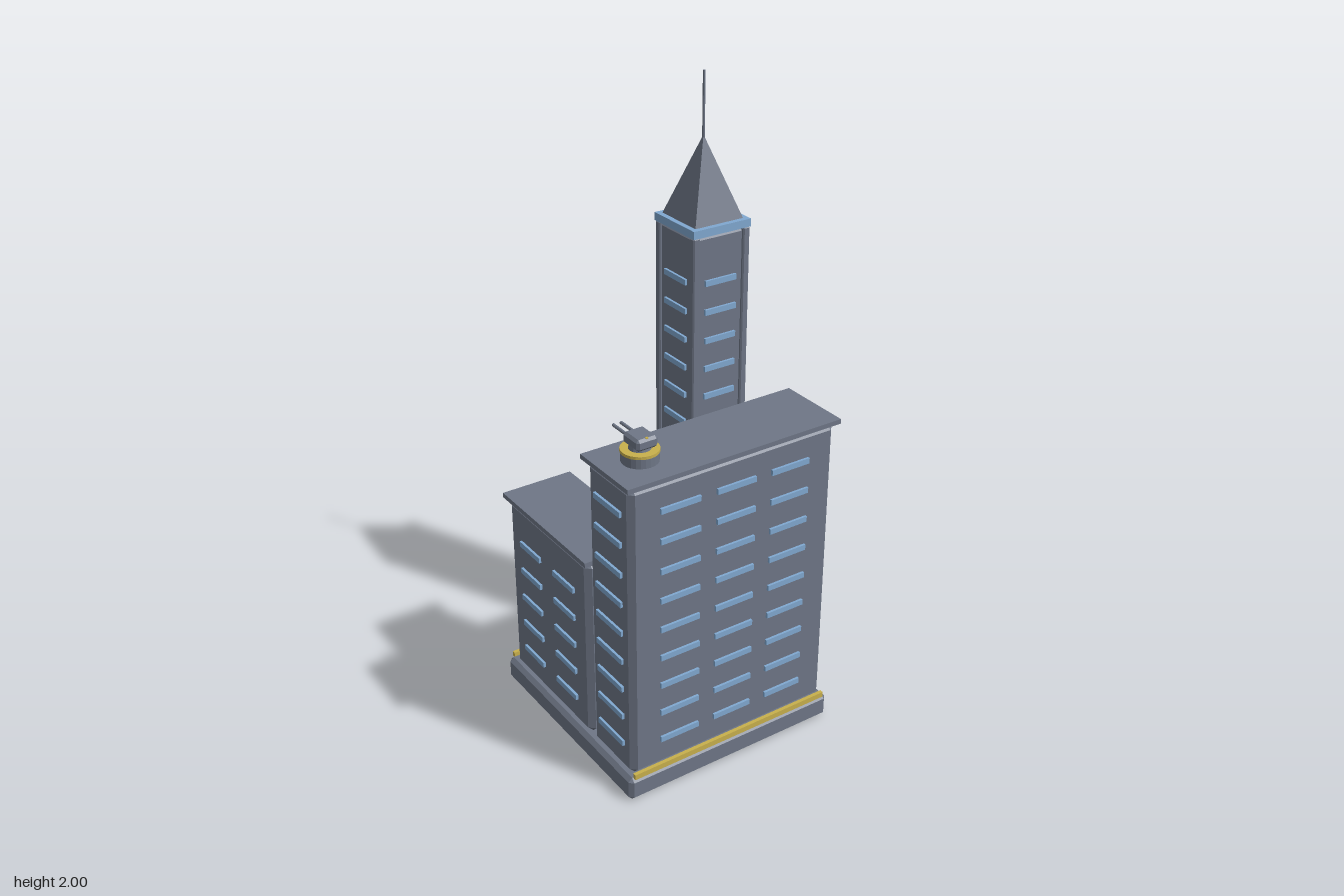
import * as THREE from 'three';
import { ConvexGeometry } from 'three/addons/geometries/ConvexGeometry.js';

const material = (name, color) => new THREE.MeshStandardMaterial({ name, color, flatShading: true });

export function createModel() {
  const concrete = material('concrete', 0x6e7686);
  const glass = material('windowBlue', 0x80a8d0);
  const yellow = material('hazardYellow', 0xc8b04c);
  const model = new THREE.Group();
  model.name = 'cityBlock';

  const group = (name) => {
    const g = new THREE.Group();
    g.name = name;
    model.add(g);
    return g;
  };
  const add = (parent, name, geometry, mat, x, y, z) => {
    const mesh = new THREE.Mesh(geometry, mat);
    mesh.name = name;
    mesh.position.set(x, y, z);
    parent.add(mesh);
    return mesh;
  };
  const box = (parent, name, mat, w, h, d, x, y, z) =>
    add(parent, name, new THREE.BoxGeometry(w, h, d), mat, x, y, z);

  // Box with every edge and corner cut by c
  const chamferBox = (w, h, d, c) => {
    const points = [];
    for (const sx of [-1, 1]) for (const sy of [-1, 1]) for (const sz of [-1, 1]) {
      const [x, y, z] = [sx * w / 2, sy * h / 2, sz * d / 2];
      points.push(
        new THREE.Vector3(x, y - sy * c, z - sz * c),
        new THREE.Vector3(x - sx * c, y, z - sz * c),
        new THREE.Vector3(x - sx * c, y - sy * c, z));
    }
    return new ConvexGeometry(points);
  };

  // Rows of raised window strips on all four sides of a w by d building
  const windows = (parent, cx, cz, w, d, rows, y0, step, colsX, colsZ, length) => {
    const alongX = new THREE.BoxGeometry(length, 0.018, 0.016);
    const alongZ = new THREE.BoxGeometry(0.016, 0.018, length);
    for (let i = 0; i < rows; i++) {
      const y = y0 + i * step;
      for (const s of [-1, 1]) {
        for (const o of colsX) add(parent, 'window', alongX, glass, cx + o, y, cz + s * d / 2);
        for (const o of colsZ) add(parent, 'window', alongZ, glass, cx + s * w / 2, y, cz + o);
      }
    }
  };

  // Base slab with yellow edge strips and markers
  const base = group('base');
  add(base, 'baseSlab', chamferBox(0.75, 0.08, 0.75, 0.013), concrete, 0, 0.04, 0);
  for (const s of [-1, 1]) box(base, 'edgeStrip', yellow, 0.715, 0.018, 0.012, 0, 0.086, s * 0.368);
  for (const x of [-0.125, 0.125]) box(base, 'marker', yellow, 0.01, 0.014, 0.012, x, 0.086, -0.345);

  // Wide front building
  const front = group('frontBuilding');
  add(front, 'frontBody', chamferBox(0.715, 0.982, 0.22, 0.018), concrete, 0, 0.571, 0.25);
  box(front, 'frontRoof', concrete, 0.738, 0.015, 0.245, 0, 1.068, 0.247);
  windows(front, 0, 0.25, 0.715, 0.22, 9, 0.18, 0.0988, [-0.192, 0, 0.192], [0], 0.135);

  // Lower building behind it
  const low = group('lowBuilding');
  add(low, 'lowBody', chamferBox(0.22, 0.622, 0.466, 0.018), concrete, -0.249, 0.391, -0.107);
  box(low, 'lowRoof', concrete, 0.243, 0.016, 0.49, -0.249, 0.71, -0.11);
  windows(low, -0.249, -0.107, 0.22, 0.466, 5, 0.18, 0.0988, [0], [-0.1, 0.1], 0.12);

  // Tower with corner pillars, blue cap, spire and mast
  const tower = group('tower');
  const [tx, tz] = [0.247, -0.165];
  add(tower, 'towerCore', chamferBox(0.186, 1.46, 0.186, 0.012), concrete, tx, 0.81, tz);
  for (const sx of [-1, 1]) for (const sz of [-1, 1])
    add(tower, 'cornerPillar', chamferBox(0.024, 1.46, 0.024, 0.004), concrete,
      tx + sx * 0.09, 0.81, tz + sz * 0.09);
  windows(tower, tx, tz, 0.186, 0.186, 13, 0.268, 0.0935, [0], [0], 0.112);
  box(tower, 'towerCap', glass, 0.206, 0.025, 0.206, tx, 1.552, tz);
  add(tower, 'spire', new THREE.ConeGeometry(0.086 * Math.SQRT2, 0.247, 4), concrete,
    tx, 1.688, tz).rotation.y = Math.PI / 4;
  add(tower, 'mast', new THREE.CylinderGeometry(0.004, 0.004, 0.22, 8), concrete, tx, 1.89, tz);

  // Roof turret with its twin barrels pointing back
  const turret = group('roofTurret');
  const [ux, uz] = [-0.249, 0.246];
  add(turret, 'turretBase', new THREE.CylinderGeometry(0.055, 0.055, 0.03, 24), concrete, ux, 1.09, uz);
  add(turret, 'turretRing', new THREE.CylinderGeometry(0.057, 0.057, 0.009, 24), yellow, ux, 1.11, uz);
  add(turret, 'turretNeck', new THREE.CylinderGeometry(0.03, 0.034, 0.018, 16), concrete, ux, 1.12, uz);
  add(turret, 'turretHead', chamferBox(0.07, 0.036, 0.078, 0.008), concrete, ux, 1.142, uz + 0.003);
  for (const s of [-1, 1])
    add(turret, 'barrel', new THREE.CylinderGeometry(0.005, 0.005, 0.1, 10), concrete,
      ux + s * 0.013, 1.138, 0.18).rotation.x = Math.PI / 2;
  box(turret, 'turretLight', yellow, 0.008, 0.004, 0.006, ux, 1.159, 0.28);

  // Small ribbed post in the back corner
  const post = group('cornerPost');
  box(post, 'postPole', concrete, 0.011, 0.108, 0.011, 0.346, 0.133, -0.347);
  for (let i = 0; i < 5; i++) box(post, 'postRib', yellow, 0.027, 0.009, 0.014, 0.346, 0.1 + i * 0.018, -0.347);

  return model;
}
